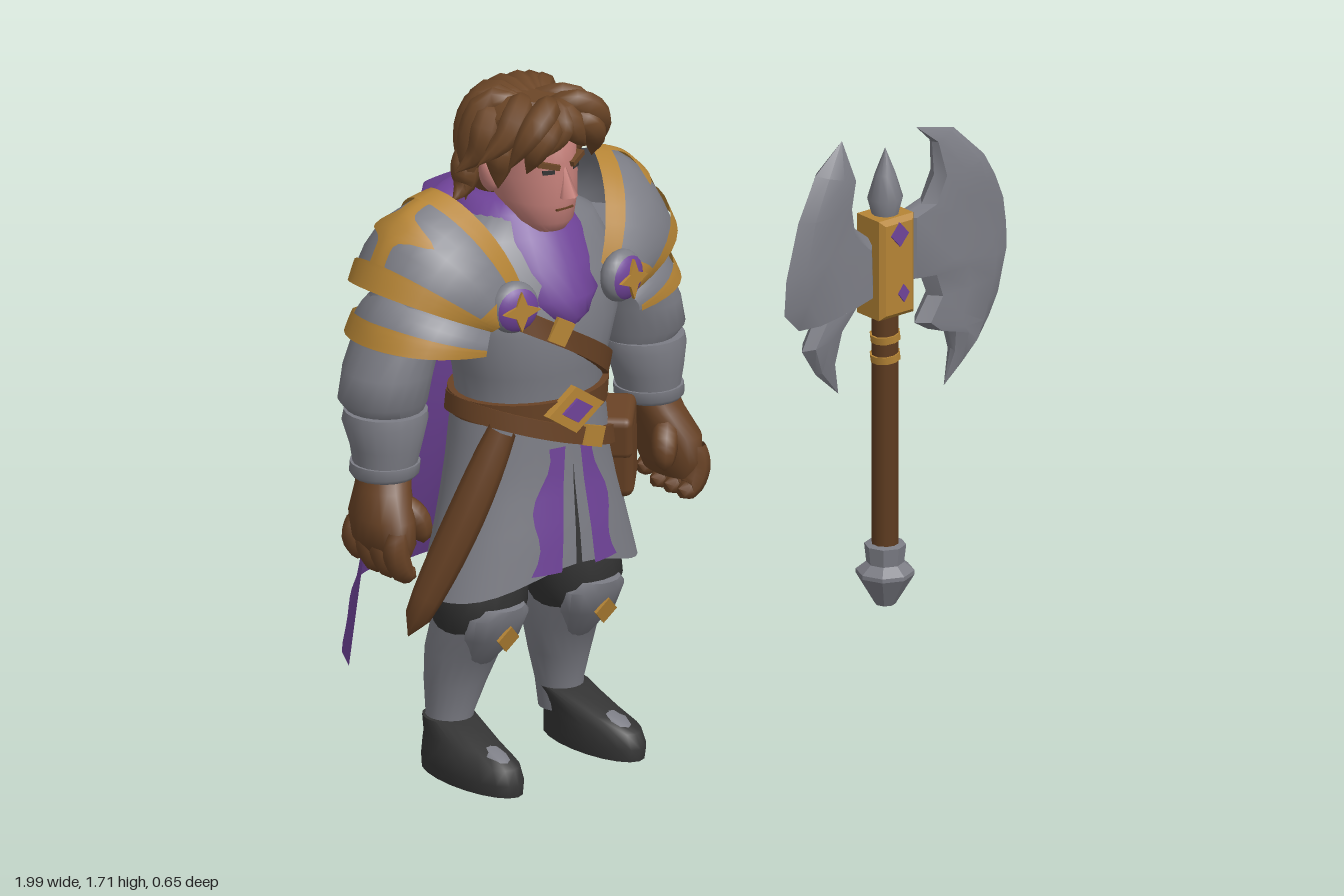
import * as THREE from 'three';
import { toCreasedNormals } from 'three/addons/utils/BufferGeometryUtils.js';
import { RoundedBoxGeometry } from 'three/addons/geometries/RoundedBoxGeometry.js';

const colours = { steel: 0x7c7d85, purple: 0x6f4398, gold: 0xb58435, leather: 0x684225, wood: 0x5e3b1f, hair: 0x6c4627, skin: 0xc5807a, dark: 0x343434 };
const mats = {};
for (const [name, c] of Object.entries(colours)) {
  mats[name] = new THREE.MeshStandardMaterial({ color: c, side: THREE.DoubleSide });
  mats[name].name = name;
}
const lerp = THREE.MathUtils.lerp;

function add(parent, name, colour, geo, pos = [0, 0, 0], rot = [0, 0, 0], scale = [1, 1, 1]) {
  const m = new THREE.Mesh(geo, mats[colour]);
  m.name = name;
  m.position.set(...pos); m.rotation.set(...rot); m.scale.set(...scale);
  parent.add(m);
}

// surface from a rule f(u, v) -> [x, y, z]
function grid(nu, nv, f, wrap = false, crease = 0.8) {
  const pos = [], idx = [], cols = wrap ? nu : nu + 1;
  for (let i = 0; i <= nv; i++) for (let j = 0; j < cols; j++) pos.push(...f(j / nu, i / nv));
  for (let i = 0; i < nv; i++) for (let j = 0; j < nu; j++) {
    const k = (j + 1) % cols, a = i * cols + j, b = i * cols + k, c = b + cols, d = a + cols;
    idx.push(a, b, d, b, c, d);
  }
  const g = new THREE.BufferGeometry();
  g.setAttribute('position', new THREE.Float32BufferAttribute(pos, 3));
  g.setIndex(idx);
  return toCreasedNormals(g, crease);
}

// rows are [y, centreX, centreZ, radiusX, radiusZ], bottom to top; angle 0 faces front
function rowAt(rows, y) {
  let i = 0;
  while (i < rows.length - 2 && y > rows[i + 1][0]) i++;
  const t = THREE.MathUtils.clamp((y - rows[i][0]) / (rows[i + 1][0] - rows[i][0]), 0, 1);
  return rows[i].map((v, k) => lerp(v, rows[i + 1][k], t));
}
const ring = (r, a, off = 0) => [r[1] + Math.sin(a) * (r[3] + off), r[0], r[2] + Math.cos(a) * (r[4] + off)];
function at(rows, y, a, off = 0) {
  const p = ring(rowAt(rows, y), a, off);
  p[1] = y;
  return p;
}
function loft(rows, seg = 20) {
  const f = rows[0], l = rows[rows.length - 1];
  const all = [[f[0], f[1], f[2], 0, 0], ...rows, [l[0], l[1], l[2], 0, 0]];
  return grid(seg, all.length - 1, (u, v) => ring(all[Math.round(v * (all.length - 1))], u * Math.PI * 2), true, 1);
}
// strap wrapped round a lofted body
function ribbon(rows, yOf, width, off) {
  const section = [[-0.5, -0.01], [-0.5, off], [0.5, off], [0.5, -0.01]];
  return grid(40, 3, (u, v) => {
    const [h, o] = section[Math.round(v * 3)], a = u * Math.PI * 2;
    return at(rows, yOf(a) + h * width, a, o);
  }, true);
}
// tapered round strand along a curve
function strand(points, radius, power = 1) {
  const curve = new THREE.CatmullRomCurve3(points.map(p => new THREE.Vector3(...p)));
  const n = 10, fr = curve.computeFrenetFrames(n, false);
  return grid(8, n, (u, v) => {
    const i = Math.round(v * n), a = u * Math.PI * 2, r = radius * Math.pow(Math.max(0, Math.sin(Math.PI * (0.12 + 0.88 * v))), power);
    return curve.getPointAt(v).addScaledVector(fr.normals[i], Math.cos(a) * r).addScaledVector(fr.binormals[i], Math.sin(a) * r).toArray();
  }, true, 1);
}
function plate(points, depth, bevel = 0) {
  const s = new THREE.Shape(points.map(p => new THREE.Vector2(...p)));
  const g = new THREE.ExtrudeGeometry(s, { depth, bevelEnabled: bevel > 0, bevelSize: bevel, bevelOffset: -bevel, bevelThickness: bevel, bevelSegments: 1 });
  return g.translate(0, 0, -depth / 2);
}
// lens-shaped blade between an inner outline and a cutting edge, paired point by point
function blade(inner, outer) {
  const section = [[0, 0], [0.1, 0.85], [0.45, 1], [0.8, 0.75], [1, 0], [0.8, -0.75], [0.45, -1], [0.1, -0.85]];
  const n = inner.length - 1;
  return grid(8, n, (u, v) => {
    const i = Math.round(v * n), [p, h] = section[Math.round(u * 8) % 8], a = inner[i], b = outer[i];
    const thick = 0.036 * Math.min(1, Math.hypot(a[0] - b[0], a[1] - b[1]) / 0.13);
    return [lerp(a[0], b[0], p), lerp(a[1], b[1], p), h * thick];
  }, true, 0.6);
}
const diamond = (w, h) => [[-w, 0], [0, -h], [w, 0], [0, h]];
const star = (r, inner) => Array.from({ length: 8 }, (_, i) => {
  const q = i % 2 ? inner : r, a = i * Math.PI / 4;
  return [Math.cos(a) * q, Math.sin(a) * q];
});

function buildBody(man) {
  const torso = [[0.82, 0, 0.14, 0.19, 0.15], [0.93, 0, 0.14, 0.185, 0.15], [1.02, 0, 0.145, 0.2, 0.16], [1.13, 0, 0.145, 0.235, 0.17],
    [1.25, 0, 0.13, 0.25, 0.16], [1.35, 0, 0.1, 0.21, 0.13], [1.41, 0, 0.1, 0.11, 0.1]];
  const skirt = [[0.45, 0, 0.145, 0.305, 0.185], [0.62, 0, 0.145, 0.255, 0.175], [0.75, 0, 0.14, 0.22, 0.165], [0.96, 0, 0.14, 0.192, 0.155]];
  add(man, 'breastplate', 'steel', loft(torso, 28));
  const hem = a => 0.475 + 0.07 * Math.pow(Math.max(0, Math.cos(a)), 4);
  add(man, 'skirt', 'steel', grid(40, 6, (u, v) => { const a = u * 2 * Math.PI; return at(skirt, lerp(hem(a), 0.93, v), a); }, true));

  // painted front panels and centre slit
  const panel = (y0, y1, edge) => grid(5, 10, (u, v) => {
    const y = lerp(y0, y1, v), [x0, x1] = edge(v);
    return at(skirt, y, Math.asin(lerp(x0, x1, u) / rowAt(skirt, y)[3]), 0.006);
  });
  for (const s of [-1, 1]) add(man, 'skirtStripe', 'purple', panel(0.535, 0.84, v => [s * lerp(0.05, 0.022, v), s * (lerp(0.128, 0.07, v) - 0.014 * Math.sin(v * 9))]));
  add(man, 'skirtSlit', 'dark', panel(0.545, 0.8, v => [-0.009 * (1 - v), 0.009 * (1 - v)]));

  // straps, belts and buckles
  add(man, 'belt', 'leather', ribbon(torso, () => 0.93, 0.055, 0.016));
  add(man, 'hipBelt', 'leather', ribbon(skirt, a => 0.865 - 0.07 * Math.sin(a), 0.045, 0.014));
  add(man, 'chestStrap', 'leather', ribbon(torso, a => 1.1 - 0.14 * Math.sin(a), 0.055, 0.014));
  add(man, 'buckle', 'gold', plate(diamond(0.085, 0.058), 0.02), [0, 0.93, 0.31]);
  add(man, 'buckleGem', 'purple', plate(diamond(0.045, 0.03), 0.008), [0, 0.93, 0.323]);
  add(man, 'strapBuckle', 'gold', new THREE.BoxGeometry(0.05, 0.06, 0.012), [-0.05, 1.14, 0.322], [0, -0.2, -0.5]);
  add(man, 'hipBuckle', 'gold', new THREE.BoxGeometry(0.075, 0.05, 0.012), [0.065, 0.845, 0.303], [0, 0.25, -0.35]);
  add(man, 'scabbard', 'leather', strand([[-0.17, 0.9, 0.25], [-0.25, 0.69, 0.21], [-0.36, 0.39, 0.13]], 0.046, 0.3));
  add(man, 'pouch', 'leather', new RoundedBoxGeometry(0.14, 0.2, 0.1, 2, 0.025), [0.225, 0.74, 0.19], [0, 0.8, 0.15]);
  add(man, 'pouchFlap', 'leather', new RoundedBoxGeometry(0.15, 0.11, 0.112, 2, 0.02), [0.215, 0.8, 0.19], [0, 0.8, 0.15]);

  // collar, hood and cape
  add(man, 'collar', 'purple', loft([[1.14, 0, 0.17, 0.05, 0.14], [1.165, 0, 0.172, 0.105, 0.153], [1.21, 0, 0.165, 0.15, 0.155], [1.28, 0, 0.125, 0.165, 0.162],
    [1.35, 0, 0.09, 0.16, 0.16], [1.4, 0, 0.08, 0.135, 0.13], [1.425, 0, 0.075, 0.1, 0.11]], 28));
  add(man, 'hood', 'purple', new THREE.SphereGeometry(1, 24, 14), [0, 1.36, -0.02], [0.35, 0, 0], [0.185, 0.075, 0.095]);
  add(man, 'cape', 'purple', grid(32, 16, (u, v) => {
    const w = u * 2 - 1, e = Math.pow(1 - w * w, 0.6);
    return [w * (0.17 + 0.175 * Math.pow(v, 0.8)) - 0.01 * v, 1.44 - v * (1.06 + 0.13 * w * w),
      lerp(-0.04 - 0.05 * v, -0.06 - 0.25 * Math.pow(v, 2.1), e) + 0.02 * v * Math.cos(w * 8)];
  }));
}

function buildHead(man) {
  const head = new THREE.Group();
  head.name = 'head';
  man.add(head);
  add(head, 'face', 'skin', loft([[1.365, 0, 0.215, 0.045, 0.04], [1.39, 0, 0.195, 0.07, 0.078], [1.44, 0, 0.165, 0.09, 0.115], [1.5, 0, 0.155, 0.094, 0.127],
    [1.54, 0, 0.15, 0.094, 0.128], [1.6, 0, 0.14, 0.097, 0.135], [1.66, 0, 0.13, 0.08, 0.1]], 24));
  add(head, 'nose', 'skin', new THREE.ConeGeometry(0.024, 0.085, 5), [0, 1.5, 0.283], [-0.2, 0, 0]);
  add(head, 'mouth', 'leather', new THREE.BoxGeometry(0.05, 0.005, 0.008), [0, 1.427, 0.275]);
  add(head, 'hairCap', 'hair', loft([[1.42, 0, 0.045, 0.07, 0.06], [1.5, 0, 0.055, 0.1, 0.085], [1.58, 0, 0.08, 0.115, 0.11], [1.64, 0, 0.115, 0.11, 0.135], [1.685, 0, 0.135, 0.065, 0.1]], 20));
  // fringe parted in the middle, then side tufts flicking outward
  const locks = [
    [[0.0, 1.66, 0.2], [0.04, 1.68, 0.26], [0.1, 1.64, 0.275], [0.145, 1.545, 0.24]],
    [[0.01, 1.665, 0.13], [0.08, 1.665, 0.2], [0.13, 1.61, 0.21], [0.19, 1.55, 0.18]],
    [[0.05, 1.66, 0.08], [0.11, 1.62, 0.12], [0.13, 1.55, 0.11], [0.175, 1.5, 0.08]],
    [[0.08, 1.62, 0.17], [0.108, 1.57, 0.17], [0.108, 1.52, 0.165], [0.112, 1.47, 0.165]],
    [[0.015, 1.65, 0.24], [0.05, 1.64, 0.28], [0.085, 1.6, 0.28], [0.1, 1.53, 0.255]],
    [[0.08, 1.56, 0.03], [0.115, 1.5, 0.05], [0.12, 1.45, 0.05], [0.165, 1.42, 0.06]],
    [[0.0, 1.67, 0.2], [0.01, 1.655, 0.27], [0.025, 1.615, 0.285], [0.06, 1.57, 0.28]],
  ];
  for (const s of [-1, 1]) {
    add(head, 'ear', 'skin', new THREE.SphereGeometry(1, 10, 8), [s * 0.105, 1.49, 0.12], [0, 0, -s * 0.2], [0.018, 0.042, 0.028]);
    add(head, 'eye', 'dark', new THREE.BoxGeometry(0.03, 0.01, 0.008), [s * 0.04, 1.523, 0.265], [0, s * 0.4, 0]);
    add(head, 'brow', 'hair', new THREE.BoxGeometry(0.055, 0.013, 0.02), [s * 0.042, 1.541, 0.266], [0, s * 0.4, s * 0.25]);
    for (const l of locks) add(head, 'hairLock', 'hair', strand(l.map(p => [p[0] * s, p[1], p[2]]), 0.036));
  }
  // locks falling over the crown and the back
  for (let i = -3; i <= 3; i++) {
    const sx = Math.sin(i * 0.5), cz = Math.cos(i * 0.5);
    add(head, 'backLock', 'hair', strand([[sx * 0.03, 1.665, 0.16], [sx * 0.08, 1.665, 0.1 - cz * 0.05], [sx * 0.11, 1.59, 0.08 - cz * 0.09], [sx * 0.12, 1.44 + 0.03 * (i % 2), 0.06 - cz * 0.08]], 0.038));
  }
}

function buildLimbs(side) {
  // layered shoulder armour: t runs front to back, v from neck to arm
  const layer = (inner, outer, bulge) => (t, v, lift = 0) => {
    const q = Math.abs(t), s = Math.sin(Math.PI * v) * bulge + lift, c = Math.cos(t * Math.PI / 2), z = Math.sin(t * Math.PI / 2);
    return [lerp(inner[0] - inner[2] * Math.pow(q, 1.2), outer[0] - outer[2] * q * q, v) + s * 0.5,
      lerp(inner[1] - inner[3] * Math.pow(q, 1.6), outer[1] - outer[3] * q * q, v) + s * c,
      0.085 + z * (lerp(inner[4], outer[4], v) + s * 0.5)];
  };
  const piece = (name, colour, f, t0, t1, v0, v1, lift) =>
    add(side, name, colour, grid(18, 6, (u, v) => f(lerp(t0, t1, u), lerp(v0, v1, v), lift)));
  const upper = layer([0.24, 1.465, 0.13, 0.25, 0.18], [0.44, 1.27, 0.22, 0.1, 0.19], 0.042);
  const lower = layer([0.36, 1.26, 0.16, 0.1, 0.16], [0.455, 1.13, 0.22, 0.02, 0.185], 0.02);
  for (const [n, f, rim] of [['upperPauldron', upper, 0.83], ['lowerPauldron', lower, 0.72]]) {
    piece(n, 'steel', f, -1, 1, 0, 1, 0);
    piece(n + 'Rim', 'gold', f, -1, 1, rim, 1.02, 0.009);
  }
  piece('neckRim', 'gold', upper, -1, 1, -0.04, 0.16, 0.009);
  for (const s of [-1, 1]) piece('pauldronEdge', 'gold', upper, s * 0.87, s, 0, 1, 0.008);
  // painted cross along the crest
  add(side, 'pauldronCrest', 'gold', grid(6, 24, (u, v) => upper((u * 2 - 1) * (0.08 + 0.27 * Math.pow(Math.abs(Math.cos(v * Math.PI * 2)), 6)), v, 0.007)));

  // rondel
  add(side, 'rondel', 'steel', new THREE.SphereGeometry(0.064, 20, 12), [0.165, 1.22, 0.285], [0, 0.2, 0], [1, 1, 0.6]);
  add(side, 'rondelField', 'purple', new THREE.SphereGeometry(0.066, 20, 6, 0, Math.PI * 2, 0, 0.95), [0.165, 1.22, 0.286], [Math.PI / 2, 0, -0.2], [1, 0.6, 1]);
  add(side, 'rondelStar', 'gold', plate(star(0.05, 0.021), 0.008), [0.172, 1.22, 0.324], [0, 0.2, 0]);

  // arm and glove
  add(side, 'upperArm', 'steel', loft([[0.95, 0.385, 0.08, 0.085, 0.085], [0.99, 0.395, 0.08, 0.108, 0.108], [1.06, 0.38, 0.08, 0.105, 0.115], [1.15, 0.345, 0.08, 0.095, 0.115], [1.28, 0.27, 0.08, 0.09, 0.11]]));
  add(side, 'forearm', 'steel', loft([[0.83, 0.405, 0.1, 0.076, 0.076], [0.88, 0.402, 0.1, 0.086, 0.086], [0.94, 0.397, 0.09, 0.103, 0.103], [0.965, 0.395, 0.09, 0.1, 0.1]]));
  add(side, 'cuff', 'steel', loft([[0.805, 0.408, 0.1, 0.076, 0.076], [0.815, 0.407, 0.1, 0.084, 0.084], [0.84, 0.405, 0.1, 0.084, 0.084]]));
  add(side, 'glove', 'leather', loft([[0.62, 0.435, 0.135, 0.035, 0.08], [0.66, 0.44, 0.135, 0.058, 0.1], [0.72, 0.44, 0.13, 0.064, 0.098], [0.78, 0.42, 0.11, 0.062, 0.075], [0.82, 0.407, 0.1, 0.066, 0.066]]));
  for (let i = 0; i < 4; i++) {
    const z = 0.06 + i * 0.05, d = i === 0 ? 0.02 : 0;
    add(side, 'finger', 'leather', strand([[0.46, 0.7, z], [0.462, 0.64, z], [0.435, 0.592 + d, z], [0.405, 0.6 + d, z]], 0.032, 0.35));
  }
  add(side, 'thumb', 'leather', strand([[0.42, 0.76, 0.15], [0.38, 0.71, 0.19], [0.37, 0.65, 0.2]], 0.033, 0.4));

  // leg and boot
  add(side, 'thigh', 'dark', loft([[0.36, 0.148, 0.12, 0.085, 0.1], [0.43, 0.146, 0.13, 0.12, 0.118], [0.5, 0.14, 0.125, 0.122, 0.118], [0.62, 0.12, 0.12, 0.11, 0.11]]));
  add(side, 'greave', 'steel', loft([[0.07, 0.175, 0.055, 0.055, 0.055], [0.14, 0.168, 0.055, 0.057, 0.06], [0.22, 0.16, 0.065, 0.073, 0.078], [0.3, 0.15, 0.08, 0.088, 0.094], [0.37, 0.148, 0.118, 0.09, 0.116], [0.4, 0.147, 0.135, 0.09, 0.115]]));
  add(side, 'kneePlate', 'steel', loft([[0.28, 0.15, 0.13, 0.04, 0.035], [0.36, 0.148, 0.175, 0.075, 0.065], [0.42, 0.147, 0.195, 0.087, 0.07], [0.445, 0.147, 0.215, 0.06, 0.055]], 16));
  add(side, 'kneeGem', 'gold', plate(diamond(0.032, 0.036), 0.008), [0.15, 0.368, 0.247], [0.3, 0, 0]);
  add(side, 'boot', 'dark', loft([[0, 0.187, 0.16, 0.07, 0.168], [0.03, 0.188, 0.162, 0.073, 0.17], [0.065, 0.187, 0.155, 0.07, 0.16], [0.09, 0.182, 0.12, 0.063, 0.125], [0.13, 0.174, 0.06, 0.062, 0.068]]));
  add(side, 'instepPlate', 'steel', loft([[0.06, 0.187, 0.235, 0.038, 0.075], [0.084, 0.185, 0.195, 0.036, 0.08], [0.105, 0.18, 0.145, 0.03, 0.05]], 14));
}

function buildAxe(axe) {
  add(axe, 'handle', 'wood', new THREE.CylinderGeometry(0.033, 0.033, 0.66, 10), [0, 0.56, 0]);
  for (const y of [0.74, 0.79]) add(axe, 'handleBand', 'gold', new THREE.CylinderGeometry(0.037, 0.037, 0.018, 10), [0, y, 0], [0, 0, 0.12]);
  const pommel = [[0, 0.11], [0.025, 0.115], [0.07, 0.19], [0.07, 0.2], [0.045, 0.22], [0.05, 0.265], [0, 0.275]];
  add(axe, 'pommel', 'steel', toCreasedNormals(new THREE.LatheGeometry(pommel.map(p => new THREE.Vector2(...p)), 8), 0.3));
  add(axe, 'headBlock', 'gold', plate([[-0.053, 0.85], [0.053, 0.85], [0.053, 1.1], [-0.053, 1.1]], 0.08, 0.012));
  const spike = [[0.03, 1.09], [0.043, 1.14], [0.025, 1.2], [0, 1.265]];
  add(axe, 'spike', 'steel', new THREE.LatheGeometry(spike.map(p => new THREE.Vector2(...p)), 12));
  for (const s of [-1, 1]) {
    add(axe, 'blockGem', 'purple', plate(diamond(0.026, 0.03), 0.008), [0, 1.06, s * 0.053]);
    add(axe, 'blockMark', 'purple', plate(diamond(0.016, 0.022), 0.008), [0.012, 0.91, s * 0.053]);
  }
  add(axe, 'smallBlade', 'steel', blade(
    [[-0.144, 0.678], [-0.16, 0.763], [-0.144, 0.849], [-0.096, 0.902], [-0.04, 0.913], [-0.04, 1.04], [-0.096, 1.084], [-0.112, 1.148], [-0.101, 1.212], [-0.133, 1.313]],
    [[-0.144, 0.678], [-0.214, 0.742], [-0.256, 0.81], [-0.22, 0.878], [-0.265, 0.865], [-0.31, 0.913], [-0.304, 1.0], [-0.267, 1.137], [-0.214, 1.244], [-0.133, 1.313]]));
  add(axe, 'largeBlade', 'steel', blade(
    [[0.18, 0.62], [0.2, 0.71], [0.185, 0.785], [0.13, 0.775], [0.09, 0.8], [0.13, 0.86], [0.107, 0.918], [0.04, 0.918], [0.04, 1.08], [0.112, 1.095], [0.15, 1.16], [0.144, 1.244], [0.096, 1.292]],
    [[0.18, 0.62], [0.235, 0.665], [0.283, 0.71], [0.32, 0.765], [0.347, 0.817], [0.36, 0.87], [0.374, 0.924], [0.372, 0.985], [0.363, 1.052], [0.338, 1.115], [0.304, 1.175], [0.21, 1.265], [0.096, 1.292]]));
}

export function createModel() {
  const model = new THREE.Group(), man = new THREE.Group(), axe = new THREE.Group();
  model.name = 'warriorWithAxe'; man.name = 'warrior'; axe.name = 'axe';
  man.position.x = -0.49;
  axe.position.set(0.622, 0, 0.125);
  model.add(man, axe);
  buildBody(man);
  buildHead(man);
  for (const s of [1, -1]) {
    const side = new THREE.Group();
    side.name = s > 0 ? 'leftSide' : 'rightSide';
    side.scale.x = s;
    man.add(side);
    buildLimbs(side);
  }
  buildAxe(axe);
  return model;
}
